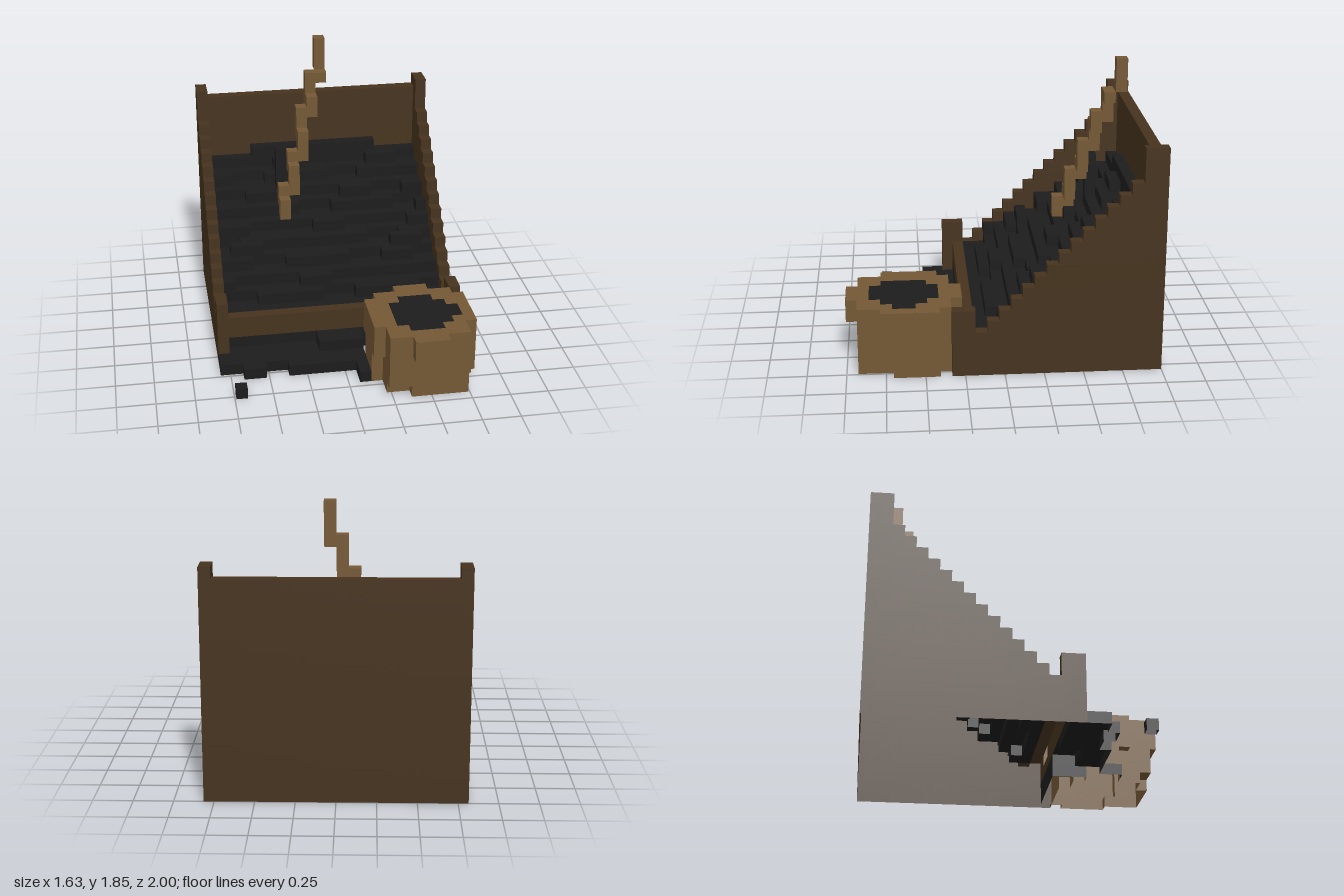
import * as THREE from 'three';

const S = 2 / 27; // size of one block; the grid is 22 x 25 x 27 blocks
const CENTRE = [11, 0, 13.5];

function material(name, color) {
  const m = new THREE.MeshStandardMaterial({ color, side: THREE.DoubleSide });
  m.name = name;
  return m;
}

// Outer skin of a set of cells: one square wherever no cell adjoins, open on the ground
function skin(cells, filled) {
  const positions = [];
  for (const cell of cells) {
    for (let axis = 0; axis < 3; axis++) {
      for (const side of [0, 1]) {
        const next = [...cell];
        next[axis] += side ? 1 : -1;
        if (next[1] < 0 || filled.has(next.join())) continue;
        const corner = (u, v) => {
          const p = [...cell];
          p[axis] += side;
          p[(axis + 1) % 3] += u;
          p[(axis + 2) % 3] += v;
          return p.map((c, n) => (c - CENTRE[n]) * S);
        };
        const [a, b, c, d] = [corner(0, 0), corner(1, 0), corner(1, 1), corner(0, 1)];
        const order = side ? [a, b, c, a, c, d] : [a, c, b, a, d, c];
        positions.push(...order.flat());
      }
    }
  }
  const geo = new THREE.BufferGeometry();
  geo.setAttribute('position', new THREE.Float32BufferAttribute(positions, 3));
  geo.computeVertexNormals();
  return geo;
}

export function createModel() {
  const group = new THREE.Group();
  const darkWood = material('dark wood', 0x46331e);
  const lightWood = material('light wood', 0x745834);
  const coal = material('coal', 0x1c1c1c);

  // Each part is a list of boxes [x0,x1, y0,y1, z0,z1]; earlier parts keep shared cells
  const filled = new Set();
  const parts = [];
  const add = (name, mat, boxes) => {
    const cells = [];
    for (const [x0, x1, y0, y1, z0, z1] of boxes) {
      for (let x = x0; x < x1; x++) {
        for (let y = y0; y < y1; y++) {
          for (let z = z0; z < z1; z++) {
            const key = [x, y, z].join();
            if (filled.has(key)) continue;
            filled.add(key);
            cells.push([x, y, z]);
          }
        }
      }
    }
    parts.push({ name, mat, cells });
  };

  // Stepped side walls: tall rear post, staircase, short front post
  for (const [name, x] of [['rightWall', 0], ['leftWall', 21]]) {
    const wall = [[x, x + 1, 0, 20, 0, 2], [x, x + 1, 0, 6, 16, 18]];
    for (let k = 2; k < 16; k++) wall.push([x, x + 1, 0, 19 - k, k, k + 1]);
    add(name, darkWood, wall);
  }
  add('backWall', darkWood, [[1, 21, 0, 19, 0, 1]]);
  add('frontBoard', darkWood, [[1, 21, 2, 4, 16, 17]]);

  // Leaning tool handle
  add('handle', lightWood, [
    [11, 12, 22, 25, 2, 3], [11, 12, 21, 22, 3, 4], [10, 11, 19, 22, 3, 4],
    [10, 11, 18, 20, 4, 5], [9, 10, 16, 19, 4, 5], [9, 10, 14, 17, 5, 6],
    [8, 9, 13, 15, 5, 6], [8, 9, 11, 14, 6, 7], [7, 8, 10, 12, 6, 7], [7, 8, 9, 11, 7, 8],
  ]);

  // Sloping coal heap with uneven steps
  const heap = [[7, 8, 11, 15, 4, 5]];
  for (let k = 1; k < 16; k++) {
    for (let i = 1; i < 21; i++) {
      const crest = i >= 5 && i < 17 ? 14 : 13;
      const bump = 0.45 * Math.sin(Math.floor((i + (k % 3)) / 3) * 2.3 + k * 0.6);
      const slope = Math.floor(4.5 + (15 - k) * 0.64 + bump);
      heap.push([i, i + 1, 0, k === 1 ? crest : Math.min(crest, slope), k, k + 1]);
    }
  }
  add('coalHeap', coal, heap);

  // Coal spilled under the front board
  add('spilledCoal', coal, [
    [1, 21, 0, 2, 16, 17], [9, 13, 0, 2, 17, 19], [1, 13, 0, 1, 17, 18], [0, 13, 0, 1, 18, 20],
    [2, 4, 0, 1, 20, 21], [6, 13, 0, 1, 20, 21], [12, 13, 0, 1, 21, 23],
  ]);
  add('looseLump', coal, [[1, 2, 0, 1, 23, 24]]);

  // Barrel, row by row: z, outer x range, coal x range
  const rows = [
    [17, 16, 19], [18, 14, 21], [19, 13, 22, 16, 19], [20, 13, 22, 15, 20], [21, 13, 22, 15, 21],
    [22, 13, 22, 15, 21], [23, 13, 22, 15, 20], [24, 14, 21, 16, 19], [25, 14, 21], [26, 16, 19],
  ];
  // Staves reach down to different heights
  const foot = (i, k) => {
    if (k === 26) return 4;
    if (k === 17) return 3;
    if (i === 13) return k === 19 || k === 23 ? 3 : 0;
    if (i === 21) return k === 23 ? 1 : 0;
    return (k === 25 || k === 18) && i < 16 ? 1 : 0;
  };
  const filling = [];
  const staves = [];
  for (const [k, x0, x1, c0 = x1, c1 = x1] of rows) {
    filling.push([c0, c1, 5, 6, k, k + 1]);
    for (let i = x0; i < x1; i++) staves.push([i, i + 1, foot(i, k), 6, k, k + 1]);
  }
  add('barrelCoal', coal, filling);
  add('barrel', lightWood, staves);

  for (const { name, mat, cells } of parts) {
    const mesh = new THREE.Mesh(skin(cells, filled), mat);
    mesh.name = name;
    group.add(mesh);
  }
  return group;
}
